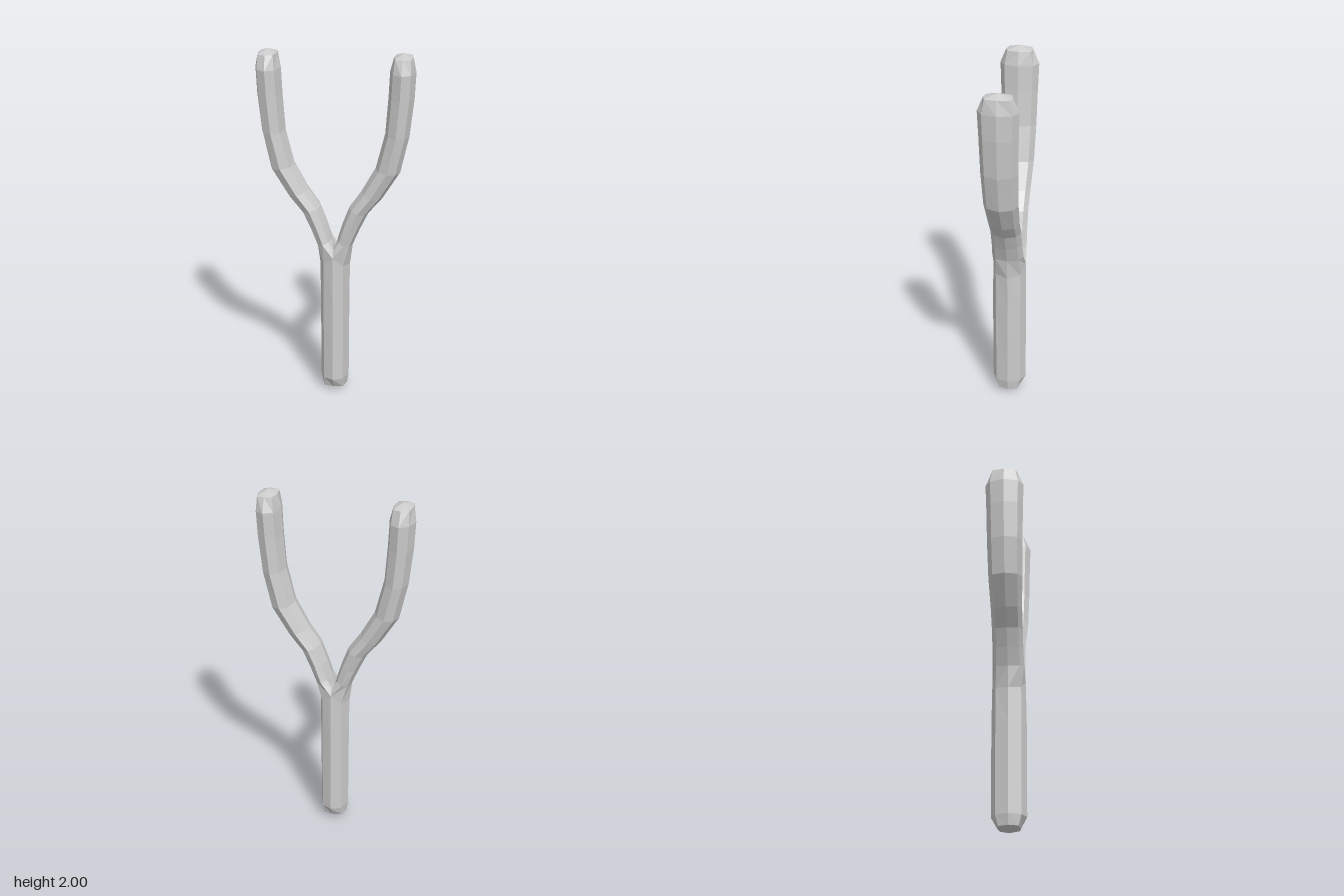
import * as THREE from 'three';

const material = new THREE.MeshStandardMaterial({ color: 0xcccccc, flatShading: true });

// Eight-sided ring between an outer and an inner point, with depth rz along z
function ring(ix, iy, ox, oy, rz, diagX = 0.68, diagZ = 0.73) {
  const cx = (ix + ox) / 2, cy = (iy + oy) / 2;
  const hx = (ox - ix) / 2, hy = (oy - iy) / 2;
  const at = (u, z) => [cx + u * hx, cy + u * hy, z * rz];
  return [
    at(1, 0), at(diagX, diagZ), at(0, 1), at(-diagX, diagZ),
    at(-1, 0), at(-diagX, -diagZ), at(0, -1), at(diagX, -diagZ),
  ];
}

const pole = (x, y) => Array.from({ length: 8 }, () => [x, y, 0]);

// Skin consecutive rings, bottom to top; side = -1 mirrors the result in x
function loft(rings, side = 1) {
  const positions = [];
  const tri = (a, b, c) => {
    for (const p of side > 0 ? [a, b, c] : [a, c, b]) positions.push(p[0] * side, p[1], p[2]);
  };
  for (let i = 0; i < rings.length - 1; i++) {
    for (let k = 0; k < 8; k++) {
      const n = (k + 1) % 8;
      const a = rings[i][k], b = rings[i][n], c = rings[i + 1][n], d = rings[i + 1][k];
      if (d !== c && d.join() !== c.join()) tri(a, d, c);
      if (a.join() !== b.join()) tri(a, c, b);
    }
  }
  const geometry = new THREE.BufferGeometry();
  geometry.setAttribute('position', new THREE.Float32BufferAttribute(positions, 3));
  geometry.computeVertexNormals();
  return geometry;
}

function part(name, geometry) {
  const mesh = new THREE.Mesh(geometry, material);
  mesh.name = name;
  return mesh;
}

export function createModel() {
  const group = new THREE.Group();
  group.name = 'forkedStick';

  // Junction corners shared by the handle and both prongs
  const side = [0.084, 0.79, 0];
  const diag = (z) => [0.054, 0.8, 0.07 * z];
  const face = (z) => [0, 0.85, 0.092 * z];
  const flip = ([x, y, z]) => [-x, y, z];

  // Handle with a rounded foot
  const handleTop = [
    side, diag(1), face(1), flip(diag(1)),
    flip(side), flip(diag(-1)), face(-1), diag(-1),
  ];
  group.add(part('handle', loft([
    pole(0, 0),
    ring(-0.07, 0.025, 0.07, 0.025, 0.062, 0.75, 0.85),
    ring(-0.08, 0.085, 0.08, 0.085, 0.095),
    ring(-0.082, 0.6, 0.082, 0.6, 0.096),
    handleTop,
  ])));

  // Prongs: start from half the handle and the crotch, curve out, end in a blunt tip
  const prong = [
    [side, diag(1), face(1), [0, 0.89, 0.068],
      [0, 0.88, 0], [0, 0.89, -0.068], face(-1), diag(-1)],
    ring(0.015, 0.94, 0.1, 0.91, 0.088),
    ring(0.042, 1.03, 0.14, 1.005, 0.085),
    ring(0.08, 1.13, 0.185, 1.1, 0.085),
    ring(0.145, 1.225, 0.26, 1.19, 0.086),
    ring(0.222, 1.365, 0.355, 1.345, 0.093),
    ring(0.27, 1.56, 0.4, 1.55, 0.098),
    ring(0.284, 1.76, 0.422, 1.76, 0.102),
    ring(0.29, 1.9, 0.428, 1.9, 0.107),
    ring(0.31, 1.977, 0.412, 1.977, 0.075, 0.8, 0.84),
    pole(0.361, 2),
  ];
  group.add(part('leftProng', loft(prong)), part('rightProng', loft(prong, -1)));

  return group;
}
